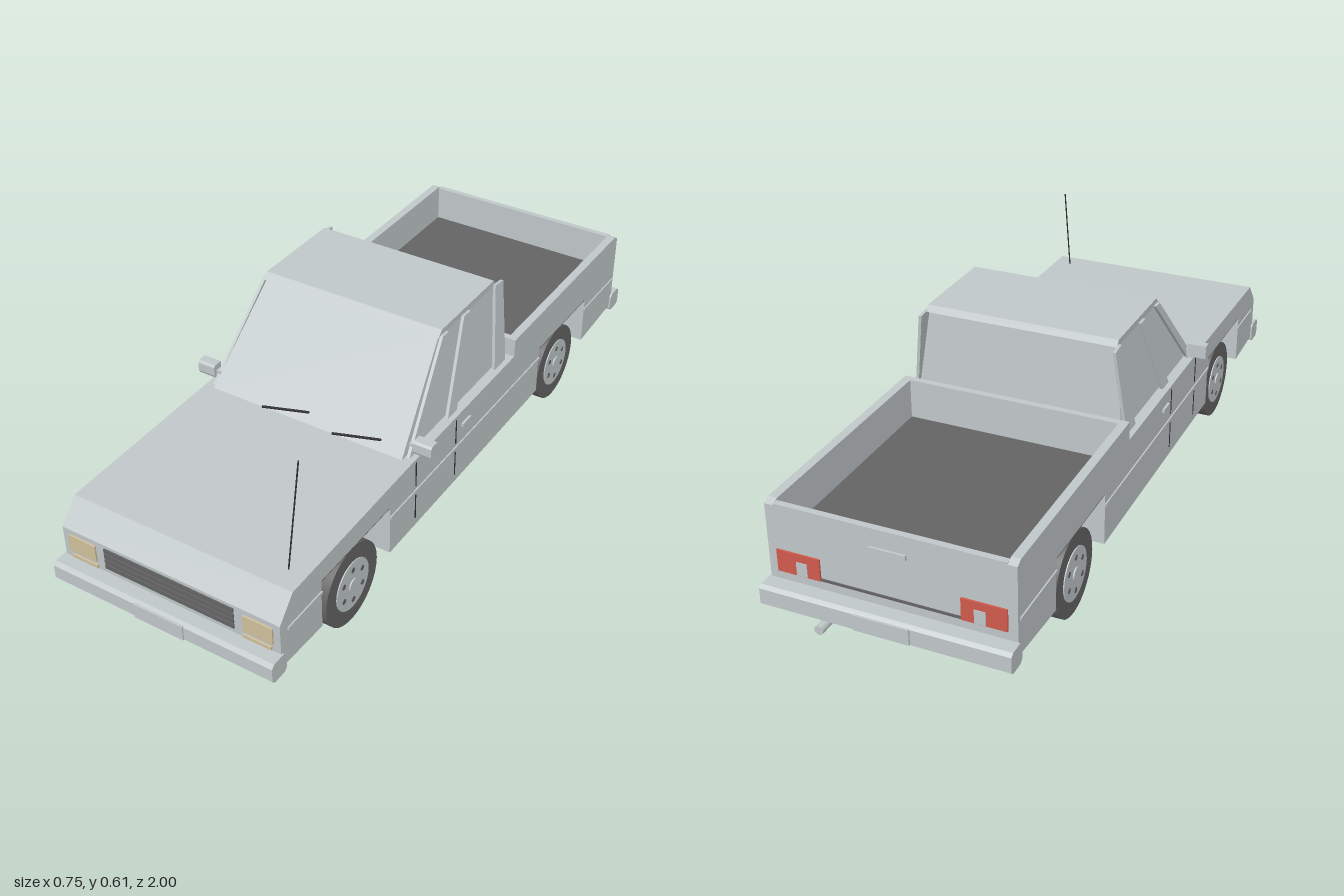
import * as THREE from 'three';

const mat = (name, color) => {
  const m = new THREE.MeshStandardMaterial({ color });
  m.name = name;
  return m;
};

export function createModel() {
  const paint = mat('silver paint', 0xc0c7c9);
  const dark = mat('dark grey', 0x646464);
  const black = mat('black rubber', 0x303030);
  const lamp = mat('warm lamp', 0xd0c09c);
  const red = mat('red lamp', 0xd05a4c);

  const truck = new THREE.Group();
  truck.name = 'pickupTruck';

  const add = (name, geo, material, x = 0, y = 0, z = 0) => {
    const mesh = new THREE.Mesh(geo, material);
    mesh.name = name;
    mesh.position.set(x, y, z);
    truck.add(mesh);
    return mesh;
  };
  // Box given by its limits on each axis
  const box = (name, material, x0, x1, y0, y1, z0, z1) =>
    add(name, new THREE.BoxGeometry(Math.abs(x1 - x0), y1 - y0, Math.abs(z1 - z0)), material,
      (x0 + x1) / 2, (y0 + y1) / 2, (z0 + z1) / 2);
  // Side profile of [z, y] points, extruded across x and centred
  const profile = (points, width) => {
    const shape = new THREE.Shape(points.map(p => new THREE.Vector2(p[0], p[1])));
    const geo = new THREE.ExtrudeGeometry(shape, { depth: width, bevelEnabled: false });
    return geo.translate(0, 0, -width / 2).rotateY(-Math.PI / 2);
  };
  // Move x of each vertex by a rule of x and y
  const bendX = (geo, rule) => {
    const p = geo.attributes.position;
    for (let i = 0; i < p.count; i++) p.setX(i, rule(p.getX(i), p.getY(i)));
    geo.computeVertexNormals();
    return geo;
  };
  const rod = (name, a, b, r, material, sides = 6) => {
    const dir = new THREE.Vector3().subVectors(b, a);
    const mesh = add(name, new THREE.CylinderGeometry(r, r, dir.length(), sides), material);
    mesh.position.copy(a).addScaledVector(dir, 0.5);
    mesh.quaternion.setFromUnitVectors(new THREE.Vector3(0, 1, 0), dir.normalize());
    return mesh;
  };

  // Lower body with square wheel arches
  add('body', profile([
    [0.95, 0.13], [0.95, 0.265], [0.893, 0.33], [0.35, 0.34], [-0.23, 0.34], [-0.23, 0.276],
    [-0.94, 0.276], [-0.94, 0.135], [-0.72, 0.118], [-0.72, 0.27], [-0.4, 0.27], [-0.4, 0.115],
    [0.455, 0.115], [0.455, 0.27], [0.775, 0.27], [0.775, 0.12]], 0.67), paint);
  for (const z of [0.615, -0.56]) {
    box('wheelWell', dark, -0.222, 0.222, 0.116, 0.27, z - 0.16, z + 0.16);
    box('archCeiling', dark, -0.334, 0.334, 0.266, 0.2695, z - 0.159, z + 0.159);
  }

  // Cargo bed
  box('bedFloor', dark, -0.31, 0.31, 0.274, 0.28, -0.925, -0.25);
  box('bedFrontWall', paint, -0.31, 0.31, 0.276, 0.395, -0.25, -0.23);
  box('tailgate', paint, -0.31, 0.31, 0.276, 0.39, -0.94, -0.922);
  for (const s of [-1, 1])
    add('bedSide', profile([[-0.23, 0.276], [-0.94, 0.276], [-0.94, 0.385], [-0.92, 0.395], [-0.23, 0.395]], 0.025),
      paint, s * 0.3225);

  // Cab with roof, tapering towards the top
  const taper = y => 1 - (y - 0.34) * 0.4;
  add('cab', bendX(profile([[0.35, 0.338], [0.11, 0.592], [-0.185, 0.592], [-0.21, 0.338]], 0.61),
    (x, y) => x * taper(y)), paint);
  add('roof', profile([[0.125, 0.585], [0.108, 0.603], [-0.182, 0.603], [-0.192, 0.585]], 0.56), paint);
  const pillars = {
    frontPillar: [[0.335, 0.338], [0.3, 0.338], [0.085, 0.588], [0.115, 0.588]],
    middlePillar: [[0.13, 0.338], [0.08, 0.338], [-0.035, 0.588], [0, 0.588]],
    rearPillar: [[-0.14, 0.338], [-0.205, 0.338], [-0.224, 0.585], [-0.18, 0.59]],
  };
  for (const s of [-1, 1])
    for (const [name, points] of Object.entries(pillars))
      add(name, bendX(profile(points, 0.009), (x, y) => x + s * (0.3145 - (y - 0.34) * 0.125)), paint);

  // Bumpers with chamfered section, and number plates
  const bumper = [[-0.03, 0.008], [-0.03, 0.052], [-0.02, 0.06], [0.02, 0.06],
    [0.03, 0.05], [0.03, 0.01], [0.02, 0], [-0.02, 0]];
  add('frontBumper', profile(bumper, 0.68), paint, 0, 0.115, 0.966);
  add('rearBumper', profile(bumper, 0.68), paint, 0, 0.115, -0.96);
  box('frontPlate', paint, -0.076, 0.076, 0.124, 0.168, 0.993, 1);
  box('rearPlate', paint, -0.076, 0.076, 0.124, 0.168, -0.995, -0.988);

  // Front grille and lamps
  for (let i = 0; i < 4; i++)
    box('grilleSlat', dark, -0.2, 0.2, 0.191 + i * 0.0172, 0.204 + i * 0.0172, 0.949, 0.954);
  for (const s of [-1, 1]) {
    box('headlight', lamp, s * 0.228, s * 0.315, 0.199, 0.25, 0.949, 0.955);
    box('indicator', lamp, s * 0.226, s * 0.31, 0.178, 0.188, 0.949, 0.955);
    // Rear lamps with a pale reversing light
    box('tailLight', red, s * 0.19, s * 0.31, 0.2, 0.262, -0.945, -0.939);
    box('reversingLight', paint, s * 0.225, s * 0.255, 0.202, 0.24, -0.947, -0.944);
  }
  box('tailgateHandle', paint, -0.05, 0.05, 0.326, 0.34, -0.947, -0.939);
  box('tailgateGroove', dark, -0.19, 0.19, 0.2, 0.207, -0.943, -0.939);

  // Side trim, door seams, handles and mirrors
  for (const s of [-1, 1]) {
    for (const [z0, z1] of [[0.92, 0.775], [0.455, -0.4], [-0.72, -0.93]])
      box('sideTrim', paint, s * 0.334, s * 0.339, 0.231, 0.239, z1, z0);
    for (const z of [0.325, 0.11])
      for (const y of [0.14, 0.25])
        box('doorSeam', black, s * 0.334, s * 0.3365, y, y + 0.08, z - 0.002, z + 0.002);
    box('doorHandle', paint, s * 0.334, s * 0.342, 0.289, 0.3, 0.035, 0.08);
    box('mirrorArm', paint, s * 0.305, s * 0.335, 0.345, 0.372, 0.292, 0.312);
    add('mirror', profile([[-0.016, 0], [0.012, 0], [0.016, 0.008], [0.016, 0.034], [0.01, 0.04], [-0.016, 0.04]], 0.055),
      paint, s * 0.349, 0.35, 0.305);
  }

  // Wheels
  for (const s of [-1, 1])
    for (const z of [0.612, -0.562]) {
      const cyl = (name, r, x0, x1, material, sides, dy = 0, dz = 0) =>
        add(name, new THREE.CylinderGeometry(r, r, x1 - x0, sides).rotateZ(Math.PI / 2), material,
          s * (x0 + x1) / 2, 0.12 + dy, z + dz);
      cyl('tyre', 0.12, 0.23, 0.318, dark, 32);
      cyl('hub', 0.075, 0.3, 0.321, paint, 28);
      cyl('hubCap', 0.02, 0.31, 0.325, paint, 12);
      for (let i = 0; i < 6; i++) {
        const a = (i + 0.5) * Math.PI / 3;
        cyl('wheelHole', 0.008, 0.317, 0.3225, dark, 8, Math.sin(a) * 0.05, Math.cos(a) * 0.05);
      }
    }

  // Wipers, aerial and exhaust
  const onGlass = (x, y) => new THREE.Vector3(x, y, 0.36 - (y - 0.34) * 0.94);
  for (const x of [-0.135, 0.092])
    rod('wiper', onGlass(x, 0.346), onGlass(x + 0.14, 0.368), 0.0035, black);
  rod('aerial', new THREE.Vector3(0.283, 0.328, 0.835), new THREE.Vector3(0.272, 0.607, 0.763), 0.002, black);
  rod('exhaust', new THREE.Vector3(0.17, 0.097, -0.83), new THREE.Vector3(0.17, 0.097, -1), 0.0125, paint, 16);

  return truck;
}
